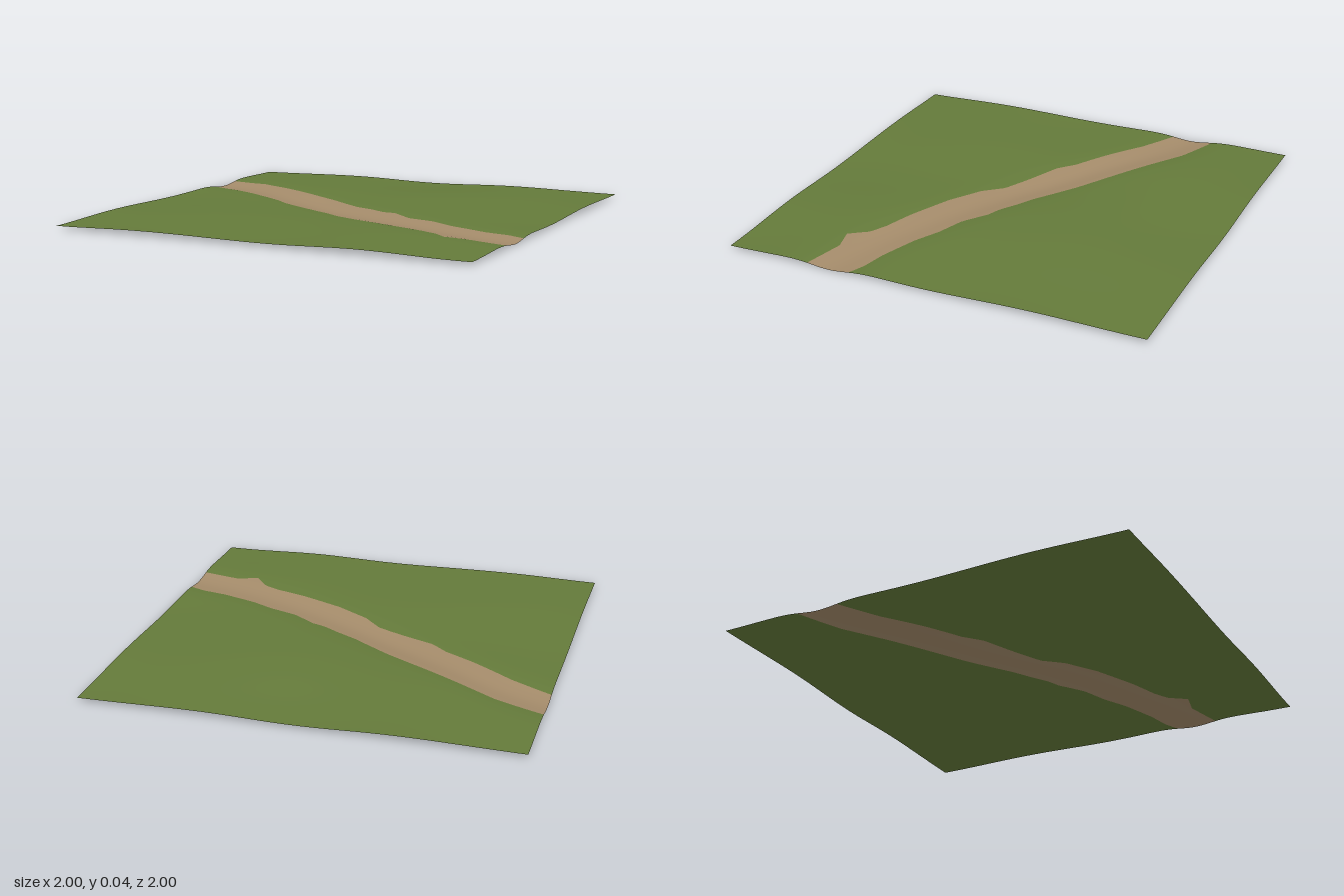
import * as THREE from 'three';

// Path borders as [x, z] points
const northEdge = [[-1, -.61], [-.77, -.53], [-.4, -.31], [-.2, -.19], [0, -.05], [.1, 0], [.18, .05], [.25, .07],
  [.36, .155], [.5, .2], [.62, .265], [.8, .33], [.92, .355], [1, .39]];
const southEdge = [[-1, -.4], [-.8, -.3], [-.6, -.17], [-.45, -.08], [-.37, -.01], [-.2, .07], [-.07, .135],
  [.02, .22], [.18, .31], [.4, .4], [.55, .45], [.63, .49], [.7, .57], [.8, .55], [1, .6]];
const centreLine = [[-1, -.5], [-.75, -.4], [-.4, -.17], [0, .08], [.35, .26], [.7, .41], [1, .49]];

function sample(points, x) {
  let i = 1;
  while (i < points.length - 1 && points[i][0] < x) i++;
  const [x0, z0] = points[i - 1], [x1, z1] = points[i];
  return z0 + (z1 - z0) * (x - x0) / (x1 - x0);
}

// Smoothed centre of the sunken path
const centre = (x) => [-.1, -.05, 0, .05, .1].reduce((s, o) => s + sample(centreLine, x + o), 0) / 5;

// Gentle hills, one broad rise and the carved path
function height(x, z) {
  const hills = .02 + .009 * (Math.sin(Math.PI * x) ** 2 + Math.sin(Math.PI * z) ** 2);
  const rise = .018 * Math.exp(-((x - .2) ** 2 + (z + .25) ** 2) / .15);
  const ripple = .0015 * Math.sin(7 * x + 2 * z) * Math.sin(6 * z - 3 * x + 1);
  const d = (z - centre(x)) / .125;
  return hills + rise + ripple - .021 * Math.exp(-d * d) - .005;
}

// A strip of terrain between two borders, with smooth normals shared across seams
function strip(name, from, to, rows, material) {
  const cols = 120, e = .02, pos = [], nor = [], idx = [];
  for (let i = 0; i <= cols; i++) {
    const x = -1 + 2 * i / cols, a = from(x), b = to(x);
    for (let j = 0; j <= rows; j++) {
      const z = a + (b - a) * j / rows;
      pos.push(x, height(x, z), z);
      const n = new THREE.Vector3(height(x - e, z) - height(x + e, z), 2 * e,
        height(x, z - e) - height(x, z + e)).normalize();
      nor.push(n.x, n.y, n.z);
      if (i < cols && j < rows) {
        const p = i * (rows + 1) + j, q = p + rows + 1;
        idx.push(p, p + 1, q, q, p + 1, q + 1);
      }
    }
  }
  const geometry = new THREE.BufferGeometry();
  geometry.setAttribute('position', new THREE.Float32BufferAttribute(pos, 3));
  geometry.setAttribute('normal', new THREE.Float32BufferAttribute(nor, 3));
  geometry.setIndex(idx);
  const mesh = new THREE.Mesh(geometry, material);
  mesh.name = name;
  return mesh;
}

export function createModel() {
  const grass = new THREE.MeshStandardMaterial({ color: 0x647a3a, side: THREE.DoubleSide });
  grass.name = 'grass';
  const dirt = new THREE.MeshStandardMaterial({ color: 0xa48b6a, side: THREE.DoubleSide });
  dirt.name = 'dirt';

  const north = (x) => sample(northEdge, x), south = (x) => sample(southEdge, x);
  const group = new THREE.Group();
  group.name = 'terrain';
  group.add(
    strip('backMeadow', () => -1, north, 50, grass),
    strip('dirtPath', north, south, 14, dirt),
    strip('frontMeadow', south, () => 1, 50, grass),
  );

  // Rest the lowest point on the ground
  group.position.y = -new THREE.Box3().setFromObject(group).min.y;
  return group;
}
